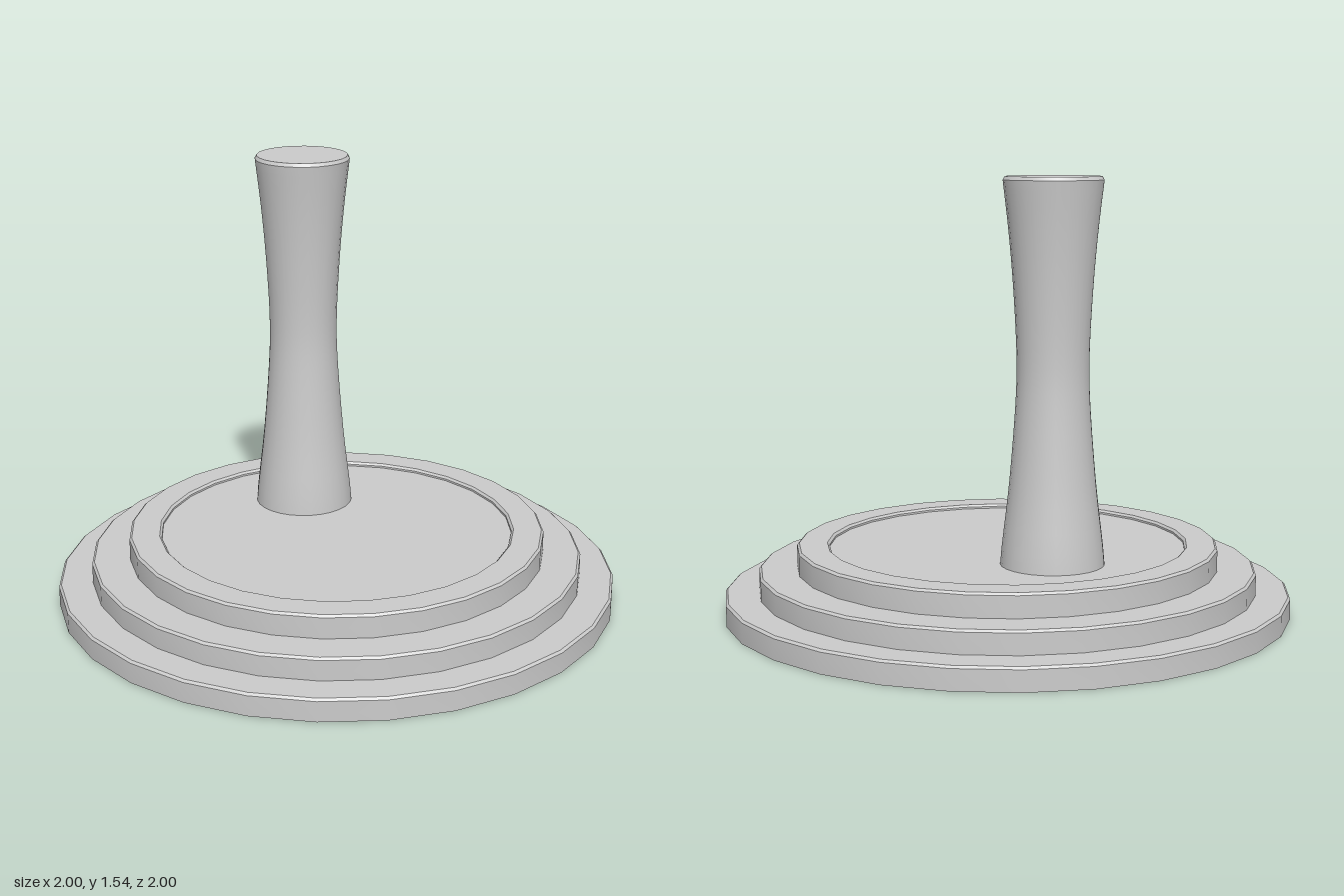
import * as THREE from 'three';
import { toCreasedNormals } from 'three/addons/utils/BufferGeometryUtils.js';

const SIDES = 28;
const material = new THREE.MeshStandardMaterial({ color: 0xcccccc });

// Turned part: smooth around the axis, sharp at profile corners
function turned(name, profile) {
  const points = profile.map(([r, y]) => new THREE.Vector2(r, y));
  const geometry = toCreasedNormals(new THREE.LatheGeometry(points, SIDES), Math.PI / 6);
  const mesh = new THREE.Mesh(geometry, material);
  mesh.name = name;
  return mesh;
}

export function createModel() {
  const model = new THREE.Group();
  model.name = 'steppedBaseWithPost';

  // Three-step ring, open through the middle, with small bevels on each step
  const hole = 0.63, bevel = 0.008;
  const profile = [[hole, 0]];
  const steps = [[1, 0, 0.08], [0.88, 0.08, 0.16], [0.745, 0.16, 0.243]];
  for (const [r, y0, y1] of steps) {
    profile.push([r, y0], [r, y1 - bevel], [r - bevel, y1]);
  }
  profile.push([hole + bevel, 0.243], [hole, 0.243 - bevel], [hole, 0]);
  model.add(turned('steppedRing', profile));

  // Thin floor set just below the rim
  model.add(turned('floorDisc', [[0, 0.21], [hole, 0.21], [hole, 0.228], [0, 0.228]]));

  // Waisted post that passes through the floor near the back
  const waist = new THREE.SplineCurve([
    [0.189, 0], [0.177, 0.243], [0.148, 0.5], [0.126, 0.78],
    [0.123, 0.95], [0.134, 1.17], [0.15, 1.36], [0.169, 1.525],
  ].map(([r, y]) => new THREE.Vector2(r, y)));
  const side = waist.getPoints(24).map((p) => [p.x, p.y]);
  const post = turned('post', [[0, 0], ...side, [0.162, 1.537], [0, 1.537]]);
  post.position.z = -0.322;
  model.add(post);

  return model;
}
